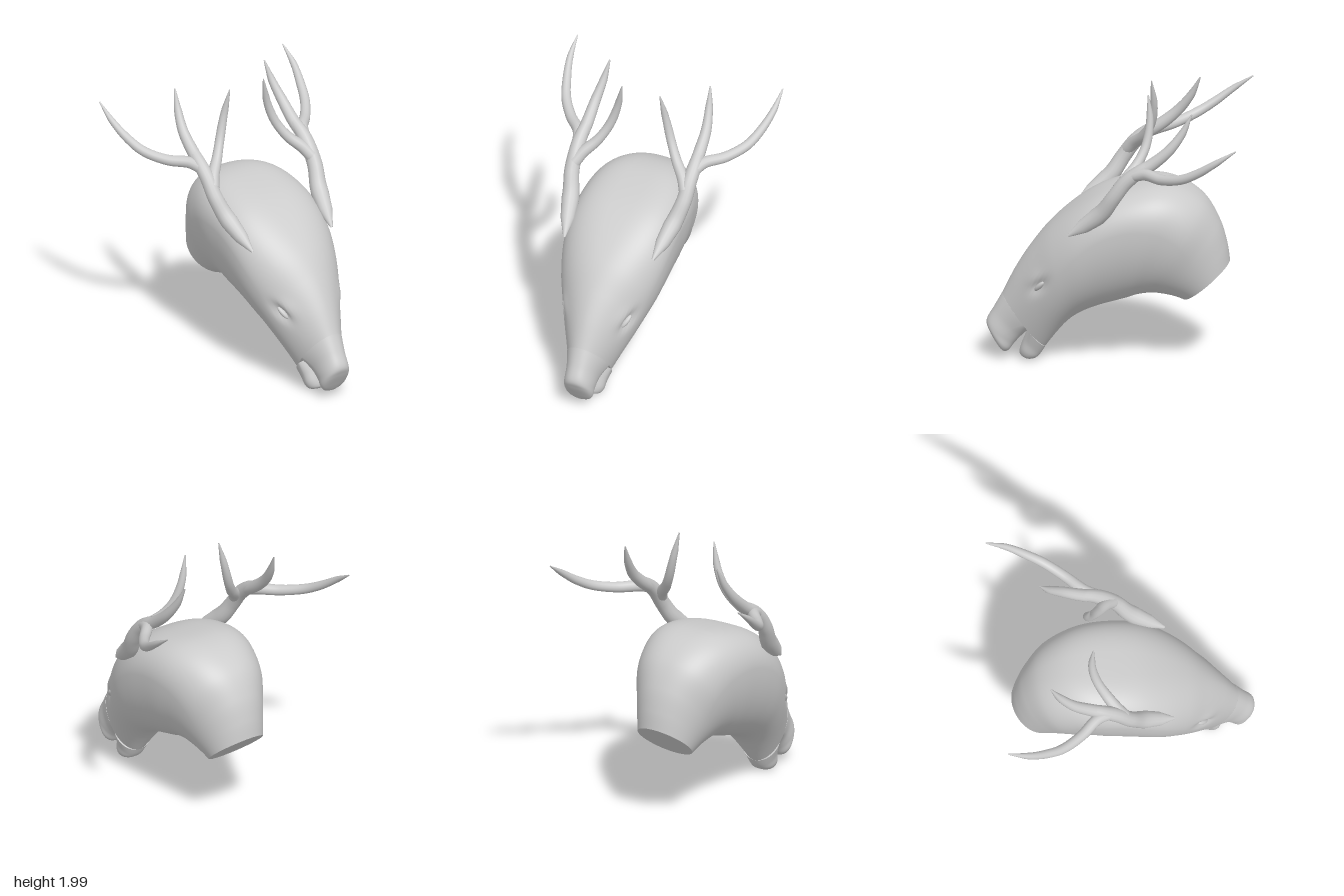
import * as THREE from 'three';

const mat = new THREE.MeshStandardMaterial({ color: 0xcccccc, side: THREE.DoubleSide });
const SIDES = 72;

// Catmull-Rom blend of whole section rows
function sample(rows, u) {
  const f = u * (rows.length - 1), i = Math.min(Math.floor(f), rows.length - 2), t = f - i;
  const at = k => rows[Math.max(0, Math.min(rows.length - 1, k))];
  const [a, b, c, d] = [at(i - 1), at(i), at(i + 1), at(i + 2)];
  return b.map((q, k) => q + 0.5 * t * (c[k] - a[k]
    + t * (2 * a[k] - 5 * q + 4 * c[k] - d[k] + t * (3 * (q - c[k]) + d[k] - a[k]))));
}

// Section row: top x, top y, bottom x, bottom y, half width, height of widest point, upper and lower roundness
function loft(name, rows, steps, shape = p => p) {
  const pos = [], index = [], v = new THREE.Vector3();
  const ring = u => {
    const [tx, ty, bx, by, w, h, eTop, eBot] = sample(rows, u);
    for (let j = 0; j < SIDES; j++) {
      const a = j / SIDES * Math.PI * 2, c = Math.cos(a), s = Math.sin(a);
      const p = c > 0 ? h + (1 - h) * c : h + h * c;
      const z = w * Math.sign(s) * Math.pow(Math.abs(s), c > 0 ? eTop : eBot);
      shape(v.set(bx + (tx - bx) * p, by + (ty - by) * p, z));
      pos.push(v.x, v.y, v.z);
    }
    return [(tx + bx) / 2, (ty + by) / 2, 0];
  };
  for (let i = 0; i <= steps; i++) ring(i / steps);
  for (let i = 0; i < steps; i++) for (let j = 0; j < SIDES; j++) {
    const k = (j + 1) % SIDES, a = i * SIDES, b = a + SIDES;
    index.push(a + j, a + k, b + j, a + k, b + k, b + j);
  }
  // flat caps with their own corners
  for (const end of [0, 1]) {
    const start = pos.length / 3, mid = start + SIDES;
    pos.push(...ring(end));
    for (let j = 0; j < SIDES; j++) {
      const k = (j + 1) % SIDES;
      index.push(mid, start + (end ? j : k), start + (end ? k : j));
    }
  }
  const g = new THREE.BufferGeometry();
  g.setAttribute('position', new THREE.Float32BufferAttribute(pos, 3));
  g.setIndex(index);
  g.computeVertexNormals();
  const m = new THREE.Mesh(g, mat);
  m.name = name;
  return m;
}

// Slanted eye hollows with a brow above them
function eyeHollow(p) {
  const dx = p.x - 0.51, dy = p.y - 0.61;
  const along = (dx * 0.7 - dy * 0.71) / 0.075, across = (dx * 0.71 + dy * 0.7);
  const side = Math.min(1, Math.abs(p.z) / 0.1) * Math.sign(p.z);
  p.z -= side * 0.035 * Math.exp(-along * along - (across / 0.03) ** 2);
  p.z += side * 0.012 * Math.exp(-along * along - ((across - 0.06) / 0.035) ** 2);
}

// Tube whose radius follows a list from root to tip
function taperedTube(name, points, radii, side) {
  const path = new THREE.CatmullRomCurve3(points.map(([x, y, z]) => new THREE.Vector3(x, y, z * side)));
  const n = 36, sides = 14, g = new THREE.TubeGeometry(path, n, 1, sides), p = g.attributes.position;
  const v = new THREE.Vector3();
  for (let i = 0; i <= n; i++) {
    const c = path.getPointAt(i / n), f = i / n * (radii.length - 1), k = Math.min(Math.floor(f), radii.length - 2);
    const r = THREE.MathUtils.lerp(radii[k], radii[k + 1], f - k);
    for (let j = 0; j <= sides; j++) {
      const q = i * (sides + 1) + j;
      v.fromBufferAttribute(p, q).sub(c).multiplyScalar(r).add(c);
      p.setXYZ(q, v.x, v.y, v.z);
    }
  }
  const m = new THREE.Mesh(g, mat);
  m.name = name;
  return m;
}

function antler(side) {
  const g = new THREE.Group();
  g.name = side > 0 ? 'leftAntler' : 'rightAntler';
  g.add(
    taperedTube('beam', [[0.3, 1.02, 0.335], [0.17, 1.12, 0.365], [0.06, 1.22, 0.395], [-0.02, 1.34, 0.425],
      [-0.1, 1.45, 0.43], [-0.19, 1.53, 0.43], [-0.26, 1.575, 0.425]], [0.01, 0.05, 0.062, 0.055, 0.052, 0.05, 0.04], side),
    taperedTube('rearTine', [[-0.18, 1.52, 0.43], [-0.28, 1.585, 0.425], [-0.4, 1.69, 0.42], [-0.49, 1.81, 0.4],
      [-0.555, 1.945, 0.38]], [0.045, 0.042, 0.036, 0.027, 0.005], side),
    taperedTube('innerTine', [[-0.05, 1.4, 0.42], [-0.1, 1.46, 0.38], [-0.17, 1.54, 0.3], [-0.225, 1.65, 0.235],
      [-0.25, 1.8, 0.185], [-0.237, 1.995, 0.143]], [0.045, 0.04, 0.033, 0.031, 0.024, 0.004], side),
    taperedTube('outerTine', [[-0.14, 1.5, 0.43], [-0.24, 1.53, 0.475], [-0.36, 1.535, 0.585], [-0.5, 1.575, 0.685],
      [-0.62, 1.64, 0.735], [-0.75, 1.73, 0.77], [-0.89, 1.825, 0.777]], [0.042, 0.04, 0.036, 0.034, 0.03, 0.022, 0.004], side));
  return g;
}

export function createModel() {
  const model = new THREE.Group();
  model.name = 'antleredHead';

  model.add(loft('neckAndHead', [
    [-0.79, 0.75, -0.47, 0.47, 0.2, 0.5, 1, 1],
    [-0.77, 0.88, -0.4, 0.495, 0.23, 0.5, 1, 1],
    [-0.72, 1.04, -0.32, 0.51, 0.27, 0.53, 0.95, 1],
    [-0.62, 1.2, -0.24, 0.515, 0.32, 0.6, 0.85, 1],
    [-0.47, 1.3, -0.15, 0.5, 0.355, 0.65, 0.75, 1],
    [-0.3, 1.335, -0.08, 0.475, 0.38, 0.68, 0.65, 1],
    [-0.1, 1.31, 0, 0.45, 0.39, 0.7, 0.6, 1],
    [0.1, 1.25, 0.1, 0.42, 0.39, 0.68, 0.65, 1],
    [0.28, 1.145, 0.19, 0.385, 0.37, 0.63, 0.75, 1],
    [0.45, 1.0, 0.27, 0.34, 0.325, 0.56, 0.9, 1],
    [0.58, 0.84, 0.34, 0.28, 0.272, 0.5, 1.05, 1],
    [0.69, 0.665, 0.41, 0.195, 0.212, 0.48, 1.1, 1],
    [0.78, 0.48, 0.48, 0.1, 0.15, 0.47, 1, 1],
  ], 140, eyeHollow));

  model.add(loft('muzzle', [
    [0.78, 0.48, 0.59, 0.24, 0.15, 0.2, 1, 0.5],
    [0.84, 0.37, 0.65, 0.175, 0.115, 0.35, 0.9, 0.5],
    [0.89, 0.275, 0.695, 0.12, 0.105, 0.45, 0.9, 0.6],
    [0.873, 0.21, 0.73, 0.07, 0.1, 0.45, 0.8, 0.7],
    [0.825, 0.125, 0.755, 0.052, 0.075, 0.5, 0.9, 0.9],
    [0.795, 0.078, 0.775, 0.055, 0.025, 0.5, 1, 1],
  ], 40));

  model.add(loft('lowerJaw', [
    [0.59, 0.24, 0.48, 0.1, 0.145, 0.85, 0.4, 1],
    [0.625, 0.165, 0.51, 0.05, 0.115, 0.7, 0.5, 0.9],
    [0.655, 0.09, 0.54, 0.018, 0.1, 0.6, 0.6, 0.8],
    [0.663, 0.045, 0.575, 0.004, 0.075, 0.5, 0.8, 0.9],
    [0.645, 0.022, 0.605, 0.004, 0.03, 0.5, 1, 1],
  ], 30));

  // closed eyes set in the hollows
  for (const side of [1, -1]) {
    const eye = new THREE.Mesh(new THREE.SphereGeometry(1, 20, 14), mat);
    eye.name = side > 0 ? 'leftEye' : 'rightEye';
    eye.scale.set(0.055, 0.018, 0.022);
    eye.position.set(0.51, 0.605, side * 0.228);
    eye.rotation.set(0, side * 0.6, -0.78, 'YZX');
    model.add(eye, antler(side));
  }
  return model;
}
